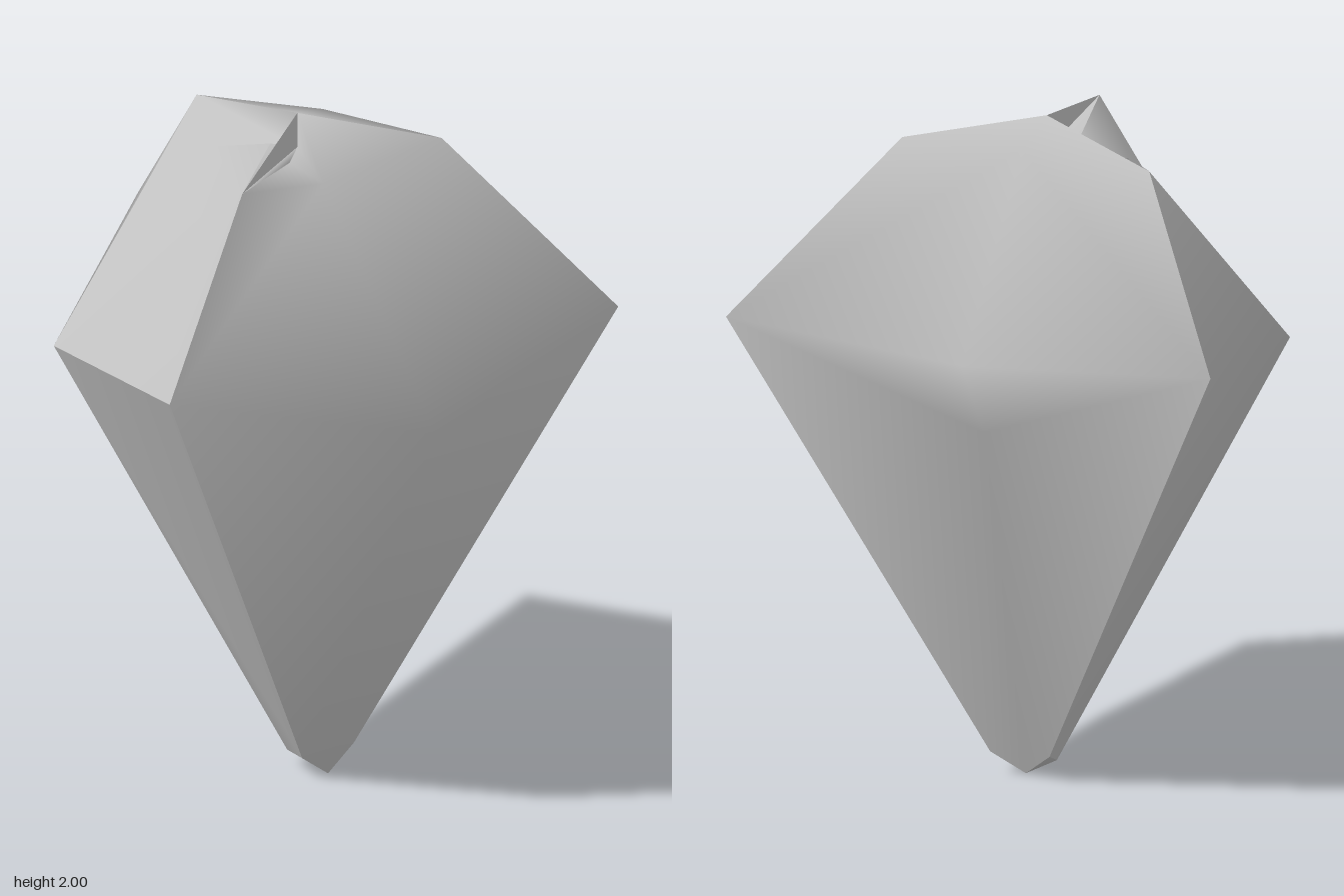
import * as THREE from 'three';

// Corner points of the tapered shard
const P = {
  leftCorner: [0.78, 1.4, 0.28], leftTop: [0.29, 1.93, 0.17], leftFoot: [0.05, 0.07, 0.1],
  backCorner: [-0.34, 1.46, -0.77], backTop: [-0.295, 1.935, -0.32], backFoot: [-0.09, 0.08, -0.02],
  rightCorner: [-0.66, 1.42, 0.68], rightTop: [-0.36, 1.915, 0.38], rightFoot: [-0.12, 0.065, 0.16],
  frontFoot: [-0.045, 0.012, 0.165], sideFoot: [-0.13, 0.045, 0.04], tip: [-0.05, 0, 0.08],
  peak: [-0.1, 2, 0.04], notch: [-0.1, 1.895, 0.04],
  notchFront: [-0.14, 1.875, 0.1], notchBack: [-0.17, 1.9, 0.005],
  frontBulge: [0.1, 1.28, 0.77], sideBulge: [-0.78, 1.305, -0.1], backBulge: [0.25, 1.39, -0.28],
  frontBrow: [-0.08, 1.86, 0.24], sideBrow: [-0.32, 1.88, -0.065], backBrow: [0.01, 1.95, -0.085],
  backBelly: [0.175, 1.17, -0.25],
};

const stone = new THREE.MeshStandardMaterial({ color: 0xc2c2c2, side: THREE.DoubleSide });
stone.name = 'grey stone';

// Smooth panel made of fans; each fan is a centre followed by its rim, counter-clockwise from outside
function panel(name, ...fans) {
  const keys = [...new Set(fans.flat())];
  const index = [];
  for (const [centre, ...rim] of fans) {
    for (let i = 0; i < rim.length - 1; i++) {
      index.push(...[centre, rim[i], rim[i + 1]].map(k => keys.indexOf(k)));
    }
  }
  const geometry = new THREE.BufferGeometry();
  geometry.setAttribute('position', new THREE.Float32BufferAttribute(keys.flatMap(k => P[k]), 3));
  geometry.setIndex(index);
  geometry.computeVertexNormals();
  const mesh = new THREE.Mesh(geometry, stone);
  mesh.name = name;
  return mesh;
}

export function createModel() {
  const group = new THREE.Group();
  group.name = 'stoneShard';
  group.add(
    panel('frontFace',
      ['frontBrow', 'frontBulge', 'leftCorner', 'leftTop', 'peak', 'notch', 'notchFront',
        'rightTop', 'rightCorner', 'frontBulge'],
      ['frontBulge', 'rightCorner', 'rightFoot', 'frontFoot', 'leftFoot', 'leftCorner']),
    panel('backFace',
      ['backBrow', 'backBulge', 'backCorner', 'backTop', 'peak', 'leftTop', 'leftCorner', 'backBulge'],
      ['backBelly', 'backCorner', 'backBulge', 'leftCorner', 'leftFoot', 'tip', 'backFoot', 'backCorner']),
    // The right side is creased between its upper and lower faces
    panel('rightUpperFace',
      ['sideBrow', 'sideBulge', 'rightCorner', 'rightTop', 'notchBack', 'notch', 'backTop', 'sideBulge'],
      ['backTop', 'notch', 'peak']),
    panel('rightLowerFace',
      ['sideBulge', 'backTop', 'backCorner', 'backFoot', 'sideFoot', 'rightFoot', 'rightCorner']),
    // Blunt foot
    panel('foot', ['tip', 'leftFoot', 'frontFoot', 'rightFoot', 'sideFoot', 'backFoot']),
    // Small chipped notch beside the peak
    panel('notchFin', ['rightTop', 'notch', 'peak']),
    panel('notchFloor', ['rightTop', 'notchFront', 'notch', 'notchBack']),
  );
  return group;
}
